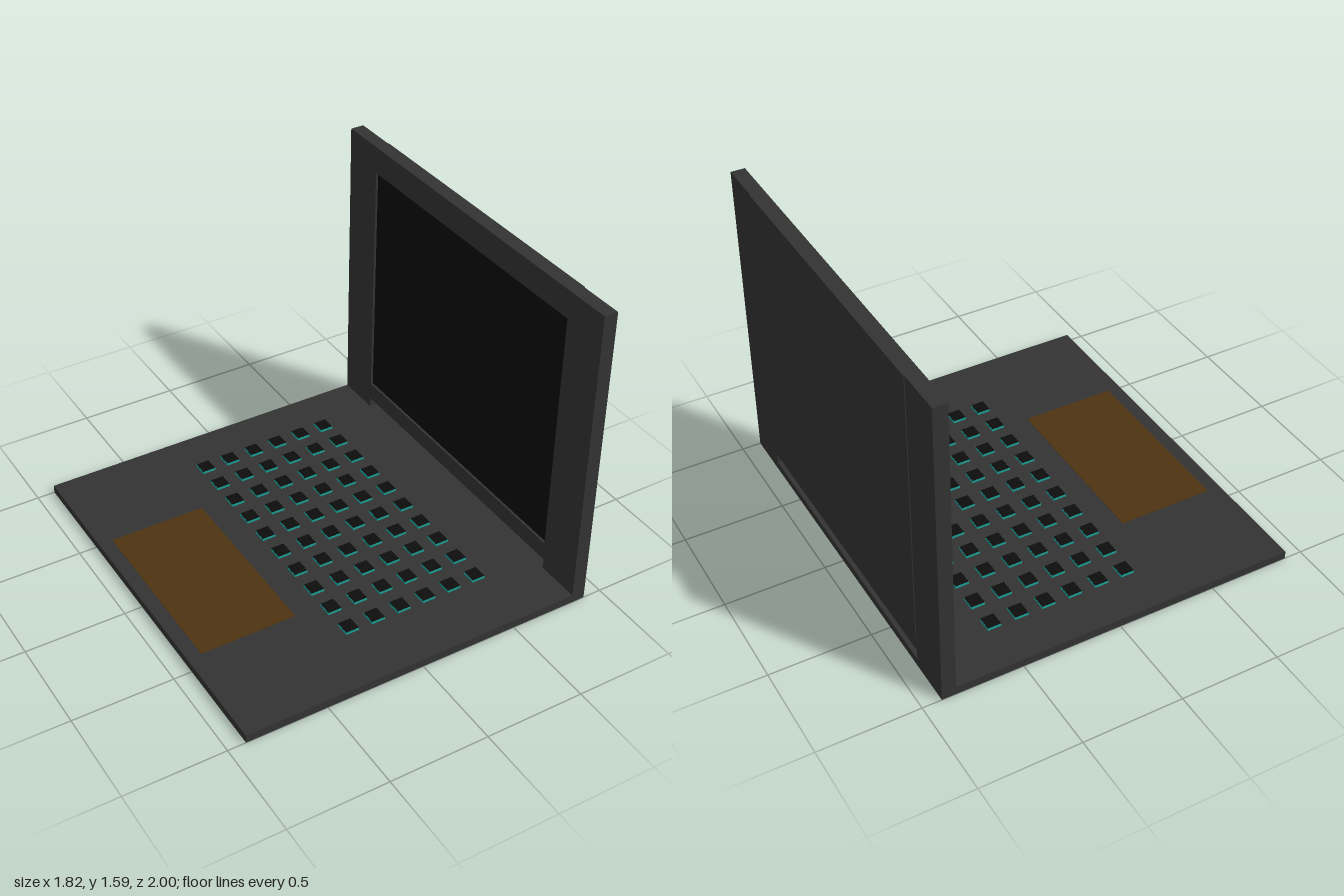
import * as THREE from 'three';

const material = (color) => new THREE.MeshStandardMaterial({ color });

export function createModel() {
  const model = new THREE.Group();
  const casing = material(0x333333);
  const black = material(0x0c0c0c);
  const teal = material(0x1a9e94);
  const amber = material(0x4d3311);

  // Box given by its minimum and maximum corners
  function box(name, mat, [x0, y0, z0], [x1, y1, z1], parent = model) {
    const mesh = new THREE.Mesh(new THREE.BoxGeometry(x1 - x0, y1 - y0, z1 - z0), mat);
    mesh.position.set((x0 + x1) / 2, (y0 + y1) / 2, (z0 + z1) / 2);
    mesh.name = name;
    parent.add(mesh);
    return mesh;
  }

  // Base and touchpad
  box('base', casing, [-0.91, 0, -1], [0.905, 0.042, 1]);
  box('touchpad', amber, [-0.84, 0.04, -0.46], [-0.35, 0.044, 0.46]);

  // Keyboard: teal keys with black caps
  const keyboard = new THREE.Group();
  keyboard.name = 'keyboard';
  model.add(keyboard);
  for (let i = 0; i < 6; i++) {
    for (let j = 0; j < 10; j++) {
      const x = -0.18 + i * 0.14, z = -0.735 + j * 0.154;
      box('key', teal, [x - 0.035, 0.04, z - 0.037], [x + 0.035, 0.055, z + 0.037], keyboard);
      box('keyCap', black, [x - 0.034, 0.054, z - 0.036], [x + 0.034, 0.0565, z + 0.036], keyboard);
    }
  }

  // Upright lid outline (z, y): two hinge feet either side of a slot
  const outline = () => new THREE.Shape([
    [-1, 0.04], [-0.77, 0.04], [-0.77, 0.095], [0.77, 0.095],
    [0.77, 0.04], [1, 0.04], [1, 1.59], [-1, 1.59],
  ].map(([z, y]) => new THREE.Vector2(z, y)));

  // Slab of the lid, extruded from x = right towards -x
  function slab(name, shape, right, depth) {
    const geometry = new THREE.ExtrudeGeometry(shape, { depth, bevelEnabled: false });
    geometry.rotateY(-Math.PI / 2).translate(right, 0, 0);
    const mesh = new THREE.Mesh(geometry, casing);
    mesh.name = name;
    model.add(mesh);
  }
  slab('lidShell', outline(), 0.905, 0.055);

  // Bezel with the screen opening
  const bezel = outline();
  bezel.holes.push(new THREE.Path([
    [-0.765, 0.19], [-0.765, 1.45], [0.765, 1.45], [0.765, 0.19],
  ].map(([z, y]) => new THREE.Vector2(z, y))));
  slab('bezel', bezel, 0.85, 0.015);
  box('screen', black, [0.847, 0.19, -0.765], [0.852, 1.45, 0.765]);

  // Slightly raised panel on the back of the lid
  box('backPanel', casing, [0.9, 0.17, -0.77], [0.909, 1.59, 0.77]);

  return model;
}
